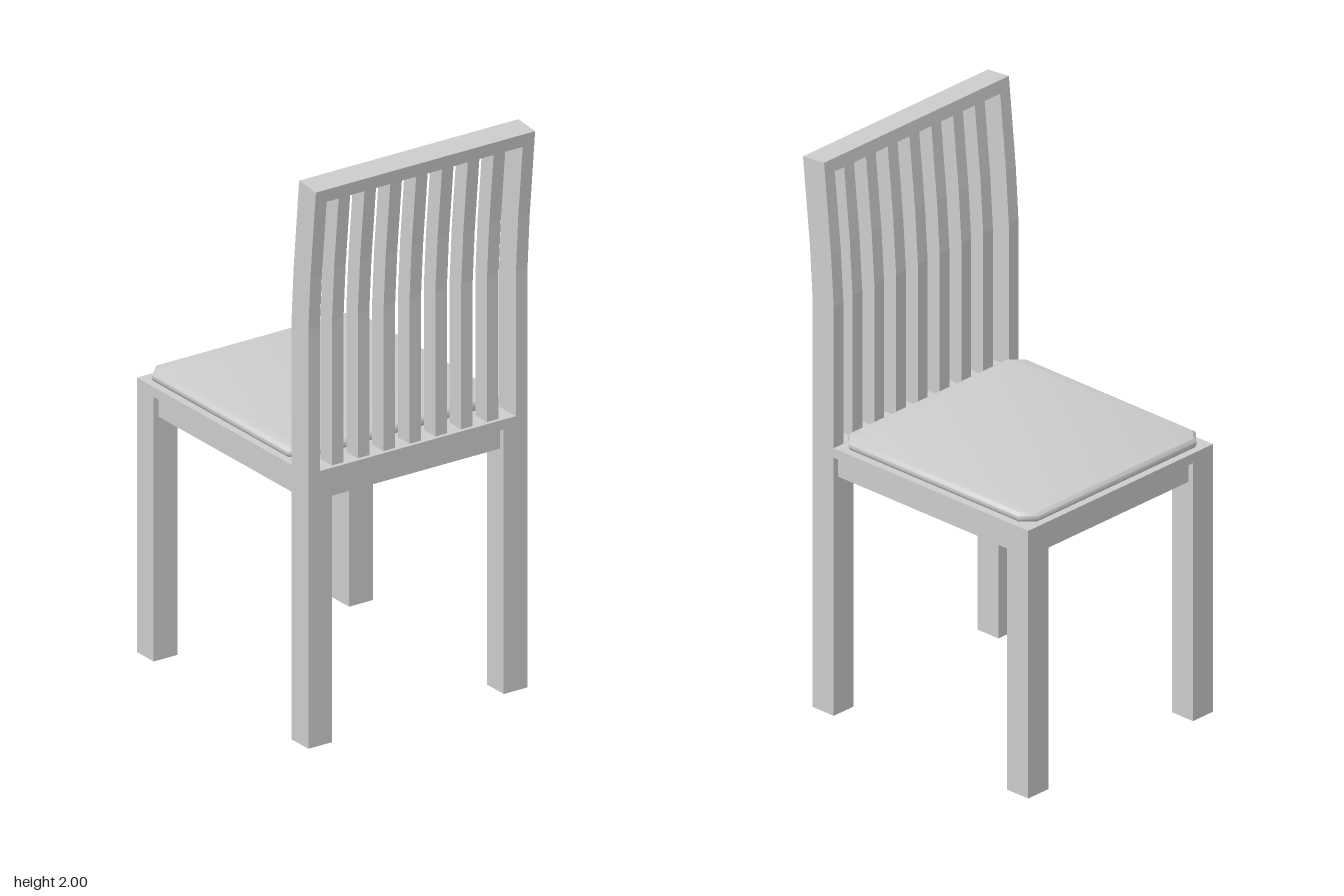
import * as THREE from 'three';
import { toCreasedNormals } from 'three/addons/utils/BufferGeometryUtils.js';

const grey = new THREE.MeshStandardMaterial({ color: 0xcccccc });

export function createModel() {
  const chair = new THREE.Group();

  const add = (name, geometry) => {
    const mesh = new THREE.Mesh(geometry, grey);
    mesh.name = name;
    chair.add(mesh);
    return mesh;
  };

  // Box given by its limits on each axis
  const box = (name, x0, x1, y0, y1, z0, z1) => {
    const g = new THREE.BoxGeometry(x1 - x0, y1 - y0, z1 - z0);
    g.translate((x0 + x1) / 2, (y0 + y1) / 2, (z0 + z1) / 2);
    return add(name, g);
  };

  // Side profile in (z, y), given thickness along x and centred on x
  const sideProfile = (name, points, x, width) => {
    const shape = new THREE.Shape(points.map(([z, y]) => new THREE.Vector2(z, y)));
    const g = new THREE.ExtrudeGeometry(shape, { depth: width, bevelEnabled: false });
    g.translate(0, 0, -width / 2).rotateY(-Math.PI / 2).translate(x, 0, 0);
    return add(name, g);
  };

  // Lean of the backrest: [height, offset in z]
  const lean = [[1.49, 0], [1.68, 0.012], [2, 0.043]];
  const bentBar = (name, x, width, z0, z1, bottom, top) => {
    const bends = [[bottom, 0], lean[0], lean[1], [top, 0.012 + (top - 1.68) * 0.097]];
    const inner = bends.map(([y, d]) => [z0 + d, y]);
    const outer = bends.map(([y, d], i) => [z1 + d, i === 3 ? y - 0.009 : y]);
    sideProfile(name, [...inner, ...outer.reverse()], x, width);
  };

  // Legs and backrest posts
  for (const [side, s] of [['left', 1], ['right', -1]]) {
    const [x0, x1] = s > 0 ? [0.342, 0.437] : [-0.437, -0.342];
    box(side + 'SeatLeg', x0, x1, 0, 0.94, -0.505, -0.41);
    box(side + 'BackrestLeg', x0, x1, 0, 0.94, 0.37, 0.465);
    bentBar(side + 'BackrestPost', s * 0.414, 0.046, 0.37, 0.465, 0.975, 2);
    box(side + 'Apron', s * 0.405 - 0.0125, s * 0.405 + 0.0125, 0.865, 0.94, -0.41, 0.37);
  }

  // Seat slab and the aprons across the chair
  box('seatSlab', -0.437, 0.437, 0.94, 0.975, -0.505, 0.465);
  box('backrestApron', -0.342, 0.342, 0.865, 0.94, 0.42, 0.445);
  box('seatEdgeApron', -0.342, 0.342, 0.865, 0.94, -0.485, -0.46);

  // Slats, following the bend of the posts
  for (let i = -3; i <= 3; i++) {
    bentBar('backrestSlat', i * 0.103, 0.046, 0.385, 0.45, 0.975, 1.965);
  }

  // Tilted top rail between the posts
  sideProfile('topRail', [[0.408, 1.954], [0.413, 2], [0.508, 1.991], [0.503, 1.945]], 0, 0.782);

  // Cushion: rectangle with cut corners and a soft rim
  const bevel = 0.017, hx = 0.42 - bevel, hz = 0.4275 - bevel, cut = 0.036;
  const outline = new THREE.Shape([
    [hx, -hz + cut], [hx, hz - cut], [hx - cut, hz], [-hx + cut, hz],
    [-hx, hz - cut], [-hx, -hz + cut], [-hx + cut, -hz], [hx - cut, -hz],
  ].map(([x, z]) => new THREE.Vector2(x, z)));
  const cushion = new THREE.ExtrudeGeometry(outline, {
    depth: 0.004, bevelThickness: bevel, bevelSize: bevel, bevelSegments: 5,
  });
  cushion.rotateX(-Math.PI / 2).translate(0, 0.975 + bevel, -0.0625);
  add('seatCushion', toCreasedNormals(cushion, 0.9));

  return chair;
}
